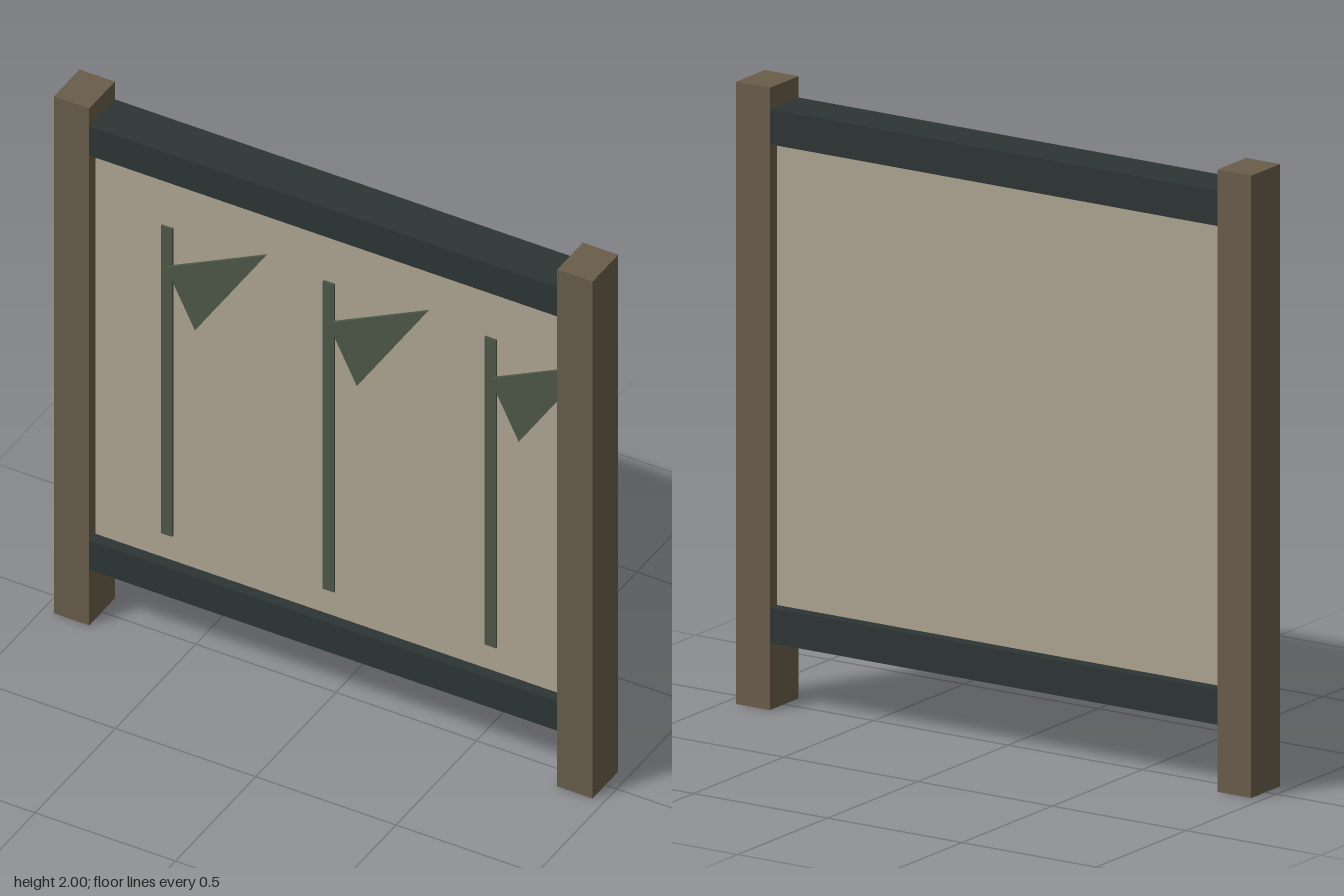
import * as THREE from 'three';

const material = (name, color) => {
  const m = new THREE.MeshStandardMaterial({ color });
  m.name = name;
  return m;
};

export function createModel() {
  const wood = material('brown wood', 0x695c4a);
  const darkWood = material('dark rail', 0x2d3535);
  const paper = material('beige panel', 0xaea592);
  const green = material('reed green', 0x4d5848);

  const model = new THREE.Group();
  model.name = 'foldingScreen';

  const add = (parent, name, geometry, mat, x, y, z) => {
    const mesh = new THREE.Mesh(geometry, mat);
    mesh.name = name;
    mesh.position.set(x, y, z);
    parent.add(mesh);
    return mesh;
  };
  const box = (w, h, d) => new THREE.BoxGeometry(w, h, d);

  // Side posts
  for (const side of [-1, 1]) {
    add(model, side > 0 ? 'leftPost' : 'rightPost', box(0.126, 2, 0.16), wood, side * 0.897, 1, 0);
  }

  // Rails fitted between the posts
  add(model, 'topRail', box(1.668, 0.113, 0.16), darkWood, 0, 1.875, 0);
  add(model, 'bottomRail', box(1.668, 0.113, 0.16), darkWood, 0, 0.272, 0);

  // Inset panel
  add(model, 'panel', box(1.668, 1.494, 0.08), paper, 0, 1.073, 0);

  // Painted reeds: a thin stem with a triangular leaf
  const stem = box(0.04, 1.19, 0.008);
  const leafShape = new THREE.Shape([
    new THREE.Vector2(0, 1.464),
    new THREE.Vector2(0.104, 1.258),
    new THREE.Vector2(0.357, 1.642),
  ]);
  const leaf = new THREE.ExtrudeGeometry(leafShape, { depth: 0.009, bevelEnabled: false });
  for (let i = -1; i <= 1; i++) {
    const reed = new THREE.Group();
    reed.name = 'reed';
    reed.position.set(i * 0.577, 0, 0.04);
    add(reed, 'stem', stem, green, 0, 1.02, 0.004);
    add(reed, 'leaf', leaf, green, 0, 0, 0.003);
    model.add(reed);
  }

  return model;
}
